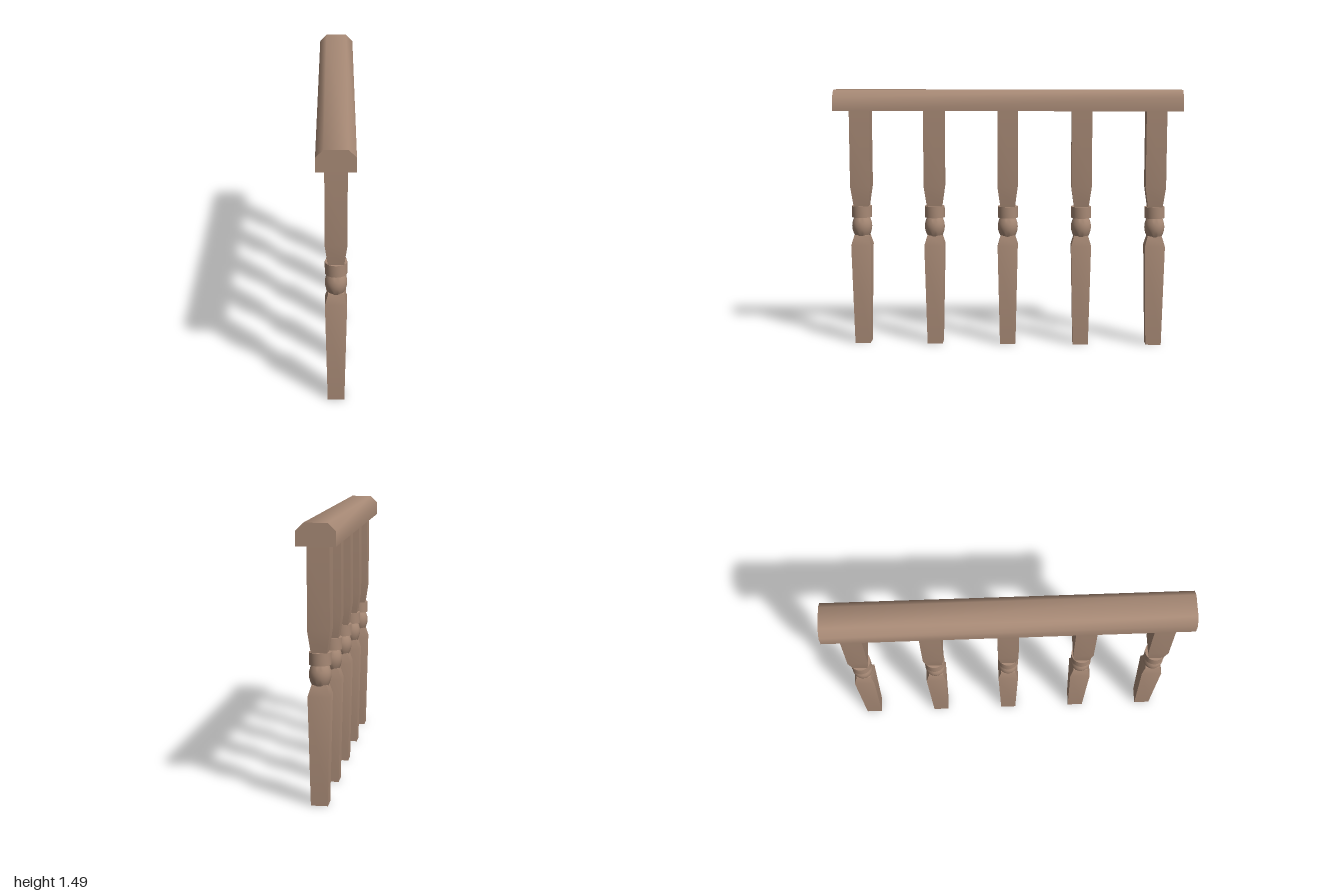
import * as THREE from 'three';
import { toCreasedNormals } from 'three/addons/utils/BufferGeometryUtils.js';

const CREASE = THREE.MathUtils.degToRad(50);

// Turned shape from [radius, y] pairs, listed bottom to top
function turned(profile, segments = 32) {
  const points = profile.map(([r, y]) => new THREE.Vector2(r, y));
  return toCreasedNormals(new THREE.LatheGeometry(points, segments), CREASE);
}

// Square shape from [half width, y] pairs, closed at both ends
function squared(profile) {
  const corners = profile.map(([w, y]) => [w * Math.SQRT2, y]);
  const closed = [[0, profile[0][1]], ...corners, [0, profile[profile.length - 1][1]]];
  return turned(closed, 4).rotateY(Math.PI / 4);
}

export function createModel() {
  const wood = new THREE.MeshStandardMaterial({ color: 0xa88a76 });
  wood.name = 'brown wood';
  const model = new THREE.Group();
  model.name = 'balustrade';

  function add(parent, name, geometry) {
    const mesh = new THREE.Mesh(geometry, wood);
    mesh.name = name;
    parent.add(mesh);
  }

  // Handrail with bevelled upper edges
  const section = new THREE.Shape([
    [-0.102, 1.37], [0.102, 1.37], [0.102, 1.447], [0.061, 1.488], [-0.061, 1.488], [-0.102, 1.447],
  ].map(([x, y]) => new THREE.Vector2(x, y)));
  const rail = new THREE.ExtrudeGeometry(section, { depth: 2, bevelEnabled: false });
  rail.translate(0, 0, -1);
  add(model, 'handrail', toCreasedNormals(rail, CREASE));

  // Baluster parts, shared by all five
  const parts = {
    lowerShaft: squared([[0.045, 0], [0.058, 0.585], [0.041, 0.643]]),
    bulb: turned([
      [0, 0.638], [0.043, 0.638], [0.051, 0.655], [0.057, 0.676], [0.0585, 0.694],
      [0.057, 0.712], [0.051, 0.733], [0.043, 0.75], [0, 0.75],
    ]),
    collar: turned([[0, 0.747], [0.0585, 0.747], [0.0585, 0.813], [0, 0.813]]),
    upperShaft: squared([[0.042, 0.81], [0.0585, 0.93], [0.0585, 1.372]]),
  };

  // Evenly spaced balusters
  for (let i = -2; i <= 2; i++) {
    const baluster = new THREE.Group();
    baluster.name = `baluster${i + 3}`;
    for (const [name, geometry] of Object.entries(parts)) add(baluster, name, geometry);
    baluster.position.z = i * 0.427;
    model.add(baluster);
  }
  return model;
}
